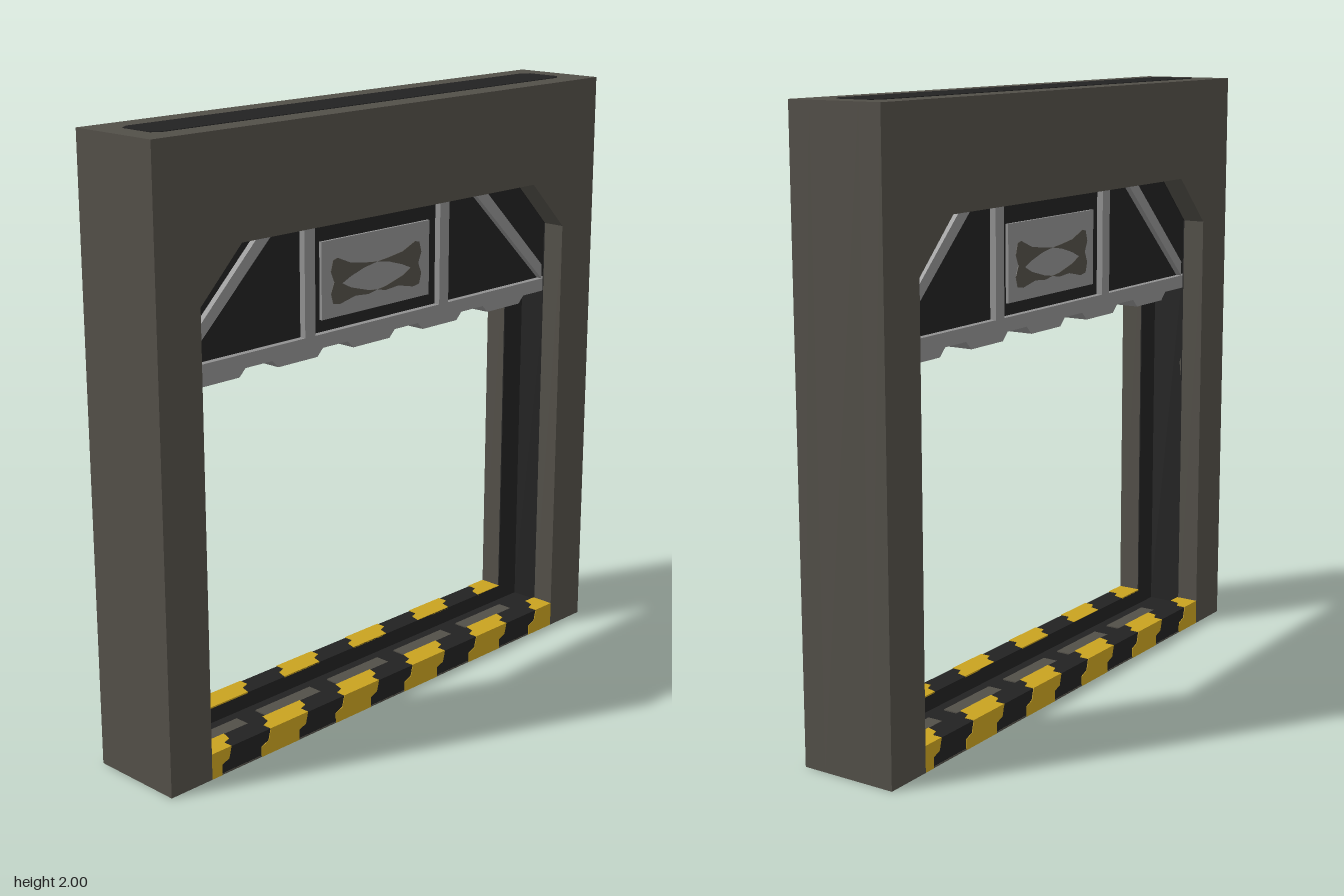
import * as THREE from 'three';

const mat = (name, color) => Object.assign(new THREE.MeshStandardMaterial({ color }), { name });

export function createModel() {
  const frame = mat('frame grey brown', 0x524f48);
  const dark = mat('dark lining', 0x222222);
  const steel = mat('light steel', 0x909090);
  const yellow = mat('warning yellow', 0xc9a220);
  const root = new THREE.Group();
  root.name = 'bulkheadDoor';

  const add = (parent, name, geo, material) => {
    const m = new THREE.Mesh(geo, material);
    m.name = name;
    parent.add(m);
    return m;
  };
  // Box given by its limits
  const box = (parent, name, material, x0, x1, y0, y1, z0, z1) => {
    const g = new THREE.BoxGeometry(x1 - x0, y1 - y0, z1 - z0);
    g.translate((x0 + x1) / 2, (y0 + y1) / 2, (z0 + z1) / 2);
    return add(parent, name, g, material);
  };
  // Outline of [z, y] points, extruded along x from x0 to x1
  const slab = (parent, name, material, pts, x0, x1) => {
    const shape = new THREE.Shape(pts.map(([z, y]) => new THREE.Vector2(-z, y)));
    const g = new THREE.ExtrudeGeometry(shape, { depth: x1 - x0, bevelEnabled: false });
    g.rotateY(Math.PI / 2).translate(x0, 0, 0);
    return add(parent, name, g, material);
  };
  const mirrorZ = pts => pts.map(([z, y]) => [-z, y]);

  // Arch outline with chamfered upper corners in the opening
  const arch = (half, top, base) => [
    [-half, base], [-half, top], [half, top], [half, base],
    [0.835, base], [0.835, 1.5], [0.67, 1.665],
    [-0.67, 1.665], [-0.835, 1.5], [-0.835, base],
  ];

  // Frame core behind the door channel
  const body = new THREE.Group();
  body.name = 'frame';
  root.add(body);
  for (const s of [-1, 1]) {
    box(body, 'postCore', frame, -0.088, 0.088, 0, 2, s < 0 ? -1 : 0.935, s < 0 ? -0.935 : 1);
    box(body, 'channelBack', dark, -0.086, 0.086, 0.03, 1.9, s < 0 ? -0.936 : 0.93, s < 0 ? -0.93 : 0.936);
  }
  box(body, 'lintelCore', frame, -0.088, 0.088, 1.9, 2, -0.935, 0.935);
  const e = 0.915, c = 0.03;
  const topPlate = slab(body, 'topPanel', dark, [
    [-e, -0.06], [-e, 0.06], [c - e, 0.08], [e - c, 0.08],
    [e, 0.06], [e, -0.06], [e - c, -0.08], [c - e, -0.08],
  ], -0.002, 0.002);
  topPlate.rotation.z = Math.PI / 2;
  topPlate.position.y = 2;

  // Worn patches on the channel backs and in the sill channel
  for (const s of [-1, 1]) {
    for (const [y, r] of [[0.45, 0.03], [0.75, 0.05], [0.95, 0.06], [1.1, 0.04]]) {
      const g = new THREE.CylinderGeometry(r, r, 0.004, 7).rotateX(Math.PI / 2).scale(0.5, 1, 1);
      add(body, 'channelPatch', g, frame).position.set(-0.055 * s, y, 0.929 * s);
    }
  }

  // Sill with a sunken channel
  const sill = new THREE.Group();
  sill.name = 'sill';
  root.add(sill);
  box(sill, 'sillUnderside', frame, -0.164, 0.164, 0, 0.005, -0.936, 0.936);
  box(sill, 'sillFloor', dark, -0.09, 0.09, 0.005, 0.03, -0.936, 0.936);
  for (let i = -2; i <= 2; i++) {
    const z = i / 3;
    box(sill, 'sillSocket', frame, -0.045, 0.045, 0.028, 0.034, z - 0.125, z + 0.125);
  }

  // Stepped stripe, v0 to v1 across, clipped to the opening
  const clip = z => Math.max(-0.835, Math.min(0.835, z));
  const stripe = (a, b, h) => [
    [a, 0], [a, h * 0.42], [a - 0.03, h * 0.55], [a - 0.04, h],
    [b - 0.04, h], [b - 0.03, h * 0.55], [b, h * 0.42], [b, 0],
  ].map(([z, v]) => [clip(z), v]);

  // Everything that repeats on both faces of the doorway
  for (const turn of [0, Math.PI]) {
    const side = new THREE.Group();
    side.name = turn ? 'rightFace' : 'leftFace';
    side.rotation.y = turn;
    root.add(side);

    slab(side, 'frameSlab', frame, arch(1, 2, 0), 0.088, 0.165);
    slab(side, 'channelLining', dark, arch(0.936, 1.9, 0.005), 0.084, 0.088);

    // Sill rail with warning stripes on its side and top
    box(side, 'sillRail', dark, 0.084, 0.163, 0.005, 0.084, -0.835, 0.835);
    for (let k = -4; k <= 1; k++) {
      const a = 0.46 + k / 3, b = a + 0.165;
      slab(side, 'sideStripe', yellow, stripe(a, b, 0.085), 0.16, 0.165);
      const t = slab(side, 'topStripe', yellow, stripe(a - 0.04, b - 0.04, 0.081), 0, 0.005);
      t.rotation.z = Math.PI / 2;
      t.position.set(0.165, 0.081, 0);
    }

    // Door sign plate with a bow shaped painted pattern
    box(side, 'signPlate', steel, 0.055, 0.068, 1.34, 1.59, -0.25, 0.25);
    const bow = [
      [0.2, 1.525], [0.18, 1.53], [0.12, 1.505], [0.05, 1.495], [0, 1.49], [0.06, 1.48],
      [0.12, 1.462], [0.16, 1.445], [0.12, 1.425], [0.04, 1.403], [0, 1.398],
      [0.04, 1.39], [0.1, 1.395], [0.17, 1.38], [0.2, 1.385], [0.21, 1.42], [0.195, 1.455], [0.21, 1.49],
    ];
    slab(side, 'signMark', frame, bow, 0.066, 0.07);
    slab(side, 'signMark', frame, mirrorZ(bow), 0.066, 0.07);

    // Door ribs
    const brace = [[0.835, 1.3], [0.835, 1.35], [0.51, 1.665], [0.51, 1.7], [0.42, 1.7], [0.45, 1.665]];
    const column = [[0.29, 1.29], [0.29, 1.8], [0.335, 1.8], [0.335, 1.29]];
    for (const m of [p => p, mirrorZ]) {
      slab(side, 'diagonalBrace', steel, m(brace), 0.055, 0.078);
      slab(side, 'doorColumn', steel, m(column), 0.055, 0.08);
    }
  }

  // Raised door leaf
  const door = new THREE.Group();
  door.name = 'door';
  root.add(door);
  box(door, 'doorPanel', dark, -0.058, 0.058, 1.28, 1.85, -0.92, 0.92);
  box(door, 'doorBottomBar', steel, -0.08, 0.08, 1.255, 1.3, -0.92, 0.92);
  for (let i = -2; i <= 2; i++) {
    const z = i / 3;
    slab(door, 'doorTooth', steel, [
      [z - 0.125, 1.256], [z + 0.125, 1.256], [z + 0.085, 1.217], [z - 0.085, 1.217],
    ], -0.045, 0.045);
  }
  return root;
}
